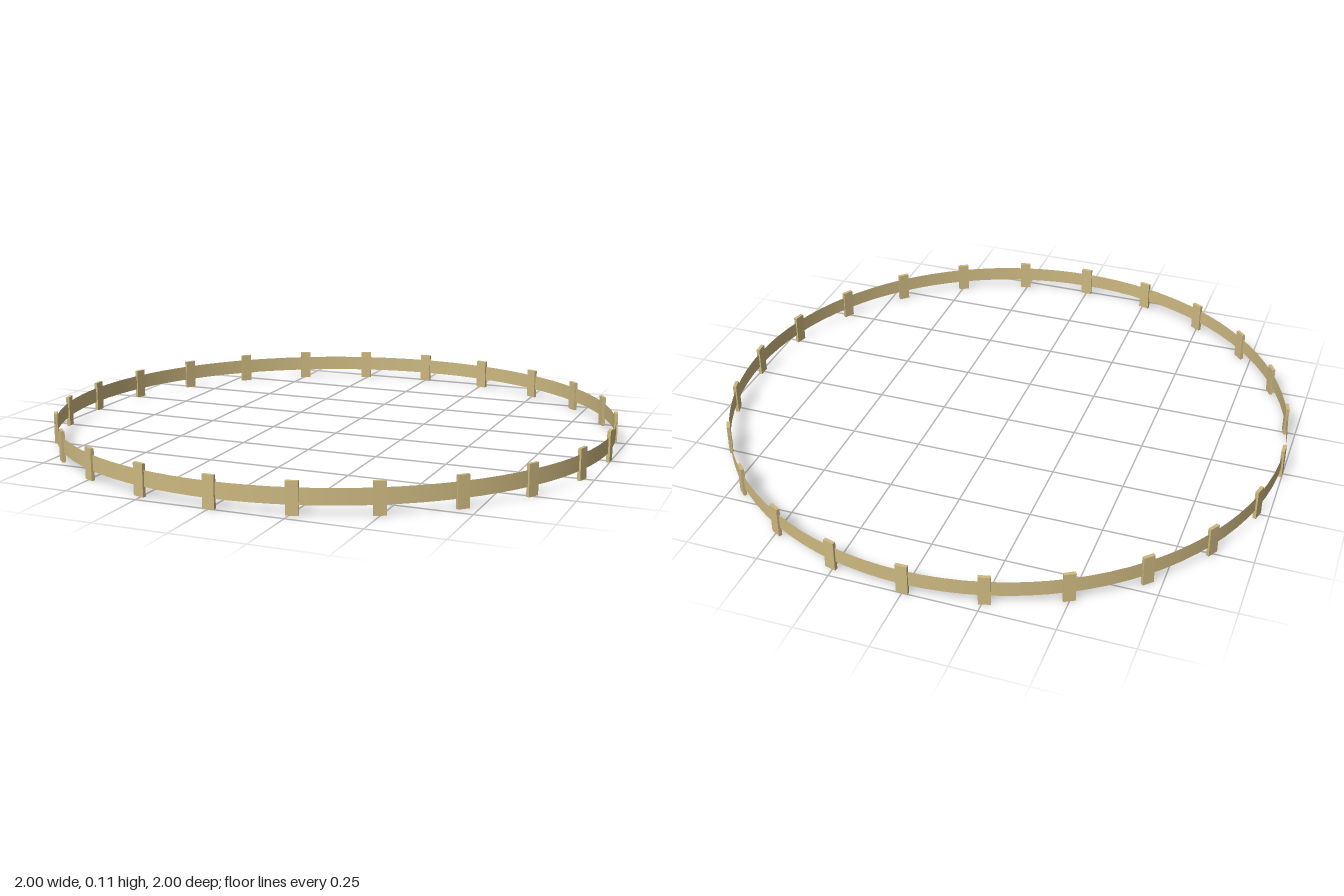
import * as THREE from 'three';

const RADIUS = 0.994;
const POSTS = 24;
const HEIGHT = 0.107;

export function createModel() {
  const model = new THREE.Group();
  model.name = 'ringFence';

  const wood = new THREE.MeshStandardMaterial({ color: 0xcdb880, side: THREE.DoubleSide });
  wood.name = 'paleWood';

  // Thin continuous rail, open at top and bottom
  const rail = new THREE.Mesh(
    new THREE.CylinderGeometry(RADIUS, RADIUS, 0.054, 96, 1, true), wood);
  rail.name = 'rail';
  rail.position.y = 0.059;
  model.add(rail);

  // Flat upright posts, each facing outwards
  const postGeometry = new THREE.BoxGeometry(0.04, HEIGHT, 0.012);
  const posts = new THREE.Group();
  posts.name = 'posts';
  for (let i = 0; i < POSTS; i++) {
    const angle = (i / POSTS) * Math.PI * 2;
    const post = new THREE.Mesh(postGeometry, wood);
    post.name = 'post';
    post.position.set(Math.sin(angle) * RADIUS, HEIGHT / 2, Math.cos(angle) * RADIUS);
    post.rotation.y = angle;
    posts.add(post);
  }
  model.add(posts);

  return model;
}
